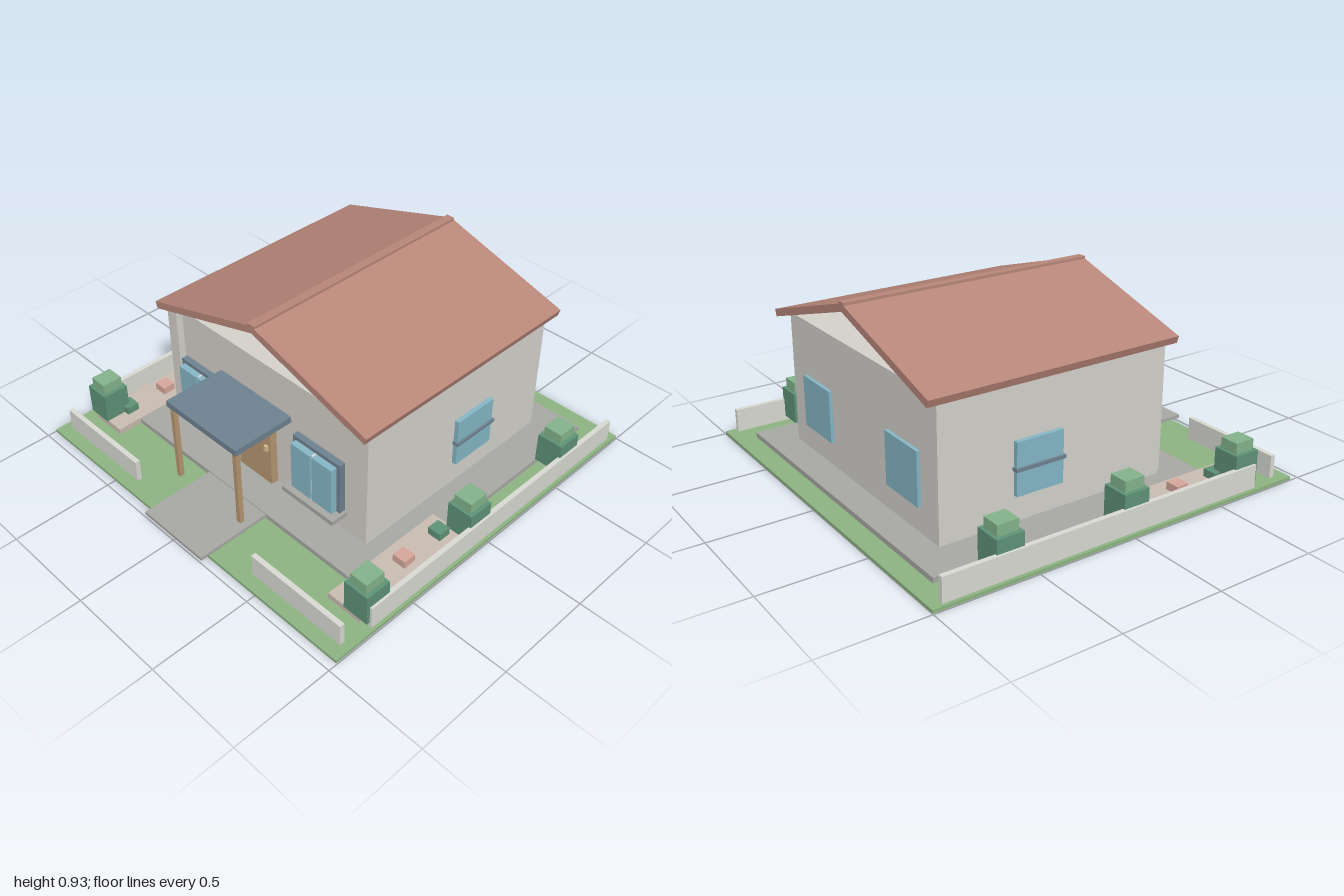
import * as THREE from 'three';

const COLORS = {
  lawn: 0x8fb583, paving: 0xa9a9a5, wall: 0xd6d3cd, roof: 0xb9877a, slate: 0x6f8391,
  wood: 0xb99873, glass: 0x86b8c8, fence: 0xdcdcd6, bed: 0xcbbdb4, hedge: 0x5f9478,
  leaf: 0x84b58c, flower: 0xd8a89c, brass: 0xd8c08a,
};
const materials = {};
for (const key in COLORS) materials[key] = new THREE.MeshStandardMaterial({ color: COLORS[key] });

// Box given by its extents along each axis
function box(parent, name, mat, [x0, x1], [y0, y1], [z0, z1]) {
  const mesh = new THREE.Mesh(new THREE.BoxGeometry(x1 - x0, y1 - y0, z1 - z0), materials[mat]);
  mesh.position.set((x0 + x1) / 2, (y0 + y1) / 2, (z0 + z1) / 2);
  mesh.name = name;
  parent.add(mesh);
  return mesh;
}

const around = (centre, size) => [centre - size / 2, centre + size / 2];

function group(parent, name) {
  const g = new THREE.Group();
  g.name = name;
  parent.add(g);
  return g;
}

// Framed double window with a projecting sill
function frontWindow(parent, name, x) {
  const g = group(parent, name);
  box(g, 'windowFrame', 'slate', around(x, 0.295), [0.15, 0.44], [0.42, 0.462]);
  for (const s of [-1, 1]) box(g, 'windowPane', 'glass', around(x + s * 0.067, 0.122), [0.165, 0.42], [0.46, 0.495]);
  box(g, 'windowMullion', 'fence', around(x, 0.012), [0.165, 0.42], [0.46, 0.485]);
  box(g, 'windowSill', 'paving', around(x, 0.325), [0.135, 0.16], [0.42, 0.523]);
}

export function createModel() {
  const model = new THREE.Group();
  model.name = 'house';

  // Ground
  box(model, 'lawn', 'lawn', [-0.995, 0.995], [0, 0.016], [-1, 0.955]);
  box(model, 'terrace', 'paving', [-0.837, 0.837], [0.01, 0.042], [-0.9, 0.62]);
  box(model, 'frontPath', 'paving', [-0.2, 0.2], [0.02, 0.037], [0.6, 1]);

  // Walls and corner pilaster
  box(model, 'houseWalls', 'wall', [-0.652, 0.652], [0.03, 0.7], [-0.755, 0.43]);
  box(model, 'cornerPilaster', 'wall', [-0.627, -0.563], [0.03, 0.7], [0.42, 0.466]);

  // Pitched roof with open gables
  const roof = group(model, 'roof');
  const slope = Math.atan2(0.207, 0.685);
  for (const s of [-1, 1]) {
    const slab = box(roof, 'roofSlope', 'roof', around(s * 0.3425, 0.716), around(0.8015, 0.036), [-0.815, 0.485]);
    slab.rotation.z = -s * slope;
  }
  box(roof, 'ridgeCap', 'roof', [-0.022, 0.022], [0.9, 0.93], [-0.815, 0.485]);

  // Front door
  const door = group(model, 'frontDoor');
  box(door, 'doorPanel', 'wood', [-0.148, 0.076], [0.042, 0.48], [0.42, 0.468]);
  box(door, 'doorHandle', 'brass', around(0.052, 0.018), [0.242, 0.272], [0.465, 0.482]);

  // Porch canopy
  const porch = group(model, 'porch');
  box(porch, 'porchRoof', 'slate', [-0.27, 0.203], [0.49, 0.521], [0.45, 0.772]);
  for (const x of [-0.248, 0.178]) box(porch, 'porchPost', 'wood', around(x, 0.024), [0.075, 0.49], [0.738, 0.762]);

  // Windows
  frontWindow(model, 'frontWindowRight', -0.408);
  frontWindow(model, 'frontWindowLeft', 0.371);
  for (const s of [-1, 1]) {
    const side = group(model, 'sideWindow');
    box(side, 'sidePane', 'glass', around(s * 0.66, 0.03), [0.168, 0.42], [-0.382, -0.138]);
    box(side, 'sideRail', 'slate', around(s * 0.67, 0.032), [0.287, 0.303], [-0.39, -0.13]);
    box(model, 'backWindow', 'glass', around(s * 0.387, 0.262), [0.168, 0.425], [-0.772, -0.74]);
  }

  // Garden on both sides
  for (const s of [-1, 1]) {
    const garden = group(model, s > 0 ? 'gardenLeft' : 'gardenRight');
    box(garden, 'sideFence', 'fence', around(s * 0.967, 0.024), [0.016, 0.132], [-0.947, 0.733]);
    box(garden, 'frontFence', 'fence', around(s * 0.68, 0.54), [0.016, 0.128], [0.863, 0.888]);
    box(garden, 'plantingBed', 'bed', around(s * 0.833, 0.19), [0.012, 0.047], [0.08, 0.748]);
    [['hedge', 0.155], ['flower', 0.385], ['hedge', 0.615]].forEach(([mat, z]) =>
      box(garden, 'bedPlant', mat, around(s * 0.837, 0.07), [0.047, 0.085], around(z, 0.066)));
    for (const z of [-0.62, 0.03, 0.683]) {
      box(garden, 'hedgeBase', 'hedge', around(s * 0.9, 0.134), [0.04, 0.197], around(z, 0.134));
      box(garden, 'hedgeTop', 'leaf', around(s * 0.9, 0.095), [0.197, 0.25], around(z, 0.105));
    }
  }
  return model;
}
